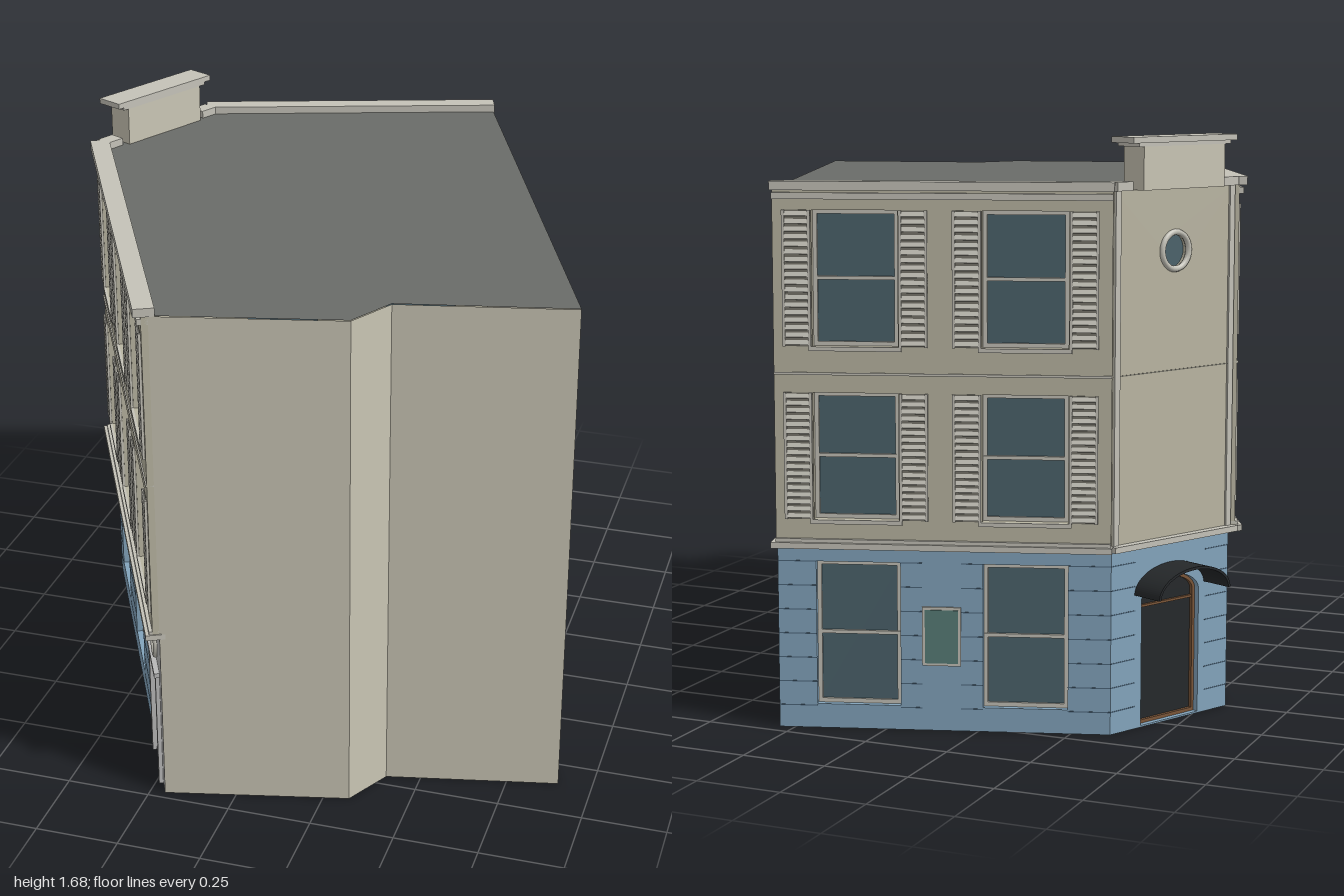
import * as THREE from 'three';
import { mergeGeometries } from 'three/addons/utils/BufferGeometryUtils.js';

const mat = (color) => new THREE.MeshStandardMaterial({ color, side: THREE.DoubleSide });
const M = {
  wall: mat(0xc9c5b4), facade: mat(0xb9b5a2), trim: mat(0xc4c2b8), roof: mat(0x6a6c68),
  blue: mat(0x83a4bc), joint: mat(0x4a6479), glass: mat(0x4b626b), shade: mat(0x77756b),
  stone: mat(0xb9b9b9), dark: mat(0x25282a), wood: mat(0x7a5538), sign: mat(0x587d78),
};

// Footprint corners as [x, z]
const P = {
  front: [-0.205, 0.975], cornerA: [-0.812, -0.248], cornerB: [-0.607, -0.67], back: [0.293, -0.96],
  right: [0.9, 0.6], stepA: [0.4, 0.71], stepB: [0.325, 0.85],
};
const GROUND = 0.53, TOP = 1.535, OUT = 0.02, BACK = -0.03;
const FLOORS = [[0.61, 0.97], [1.1, 1.48]], SHOP = [0.07, 0.485];

function add(parent, geo, material, name) {
  const m = new THREE.Mesh(geo, material);
  m.name = name;
  parent.add(m);
  return m;
}

// Box given by its extents
function boxGeo(x0, x1, y0, y1, z0, z1) {
  return new THREE.BoxGeometry(x1 - x0, y1 - y0, z1 - z0)
    .translate((x0 + x1) / 2, (y0 + y1) / 2, (z0 + z1) / 2);
}
const box = (g, name, m, ...e) => add(g, boxGeo(...e), m, name);

function rectPath(x0, x1, y0, y1, C = THREE.Path) {
  return new C([[x0, y0], [x1, y0], [x1, y1], [x0, y1]].map((p) => new THREE.Vector2(...p)));
}
function circlePath(x, y, r) {
  return new THREE.Path().absarc(x, y, r, 0, Math.PI * 2);
}

// Side frame: x runs left to right seen from outside, z points outward
function side(root, name, a, b) {
  const g = new THREE.Group();
  g.name = name;
  const dx = b[0] - a[0], dz = b[1] - a[1];
  g.position.set(a[0], 0, a[1]);
  g.rotation.y = Math.atan2(-dz, dx);
  g.userData.length = Math.hypot(dx, dz);
  root.add(g);
  return g;
}

// Wall slab with openings
function slab(g, name, m, [x0, x1, y0, y1], z1, holes) {
  const s = rectPath(x0, x1, y0, y1, THREE.Shape);
  s.holes.push(...holes);
  const geo = new THREE.ExtrudeGeometry(s, { depth: z1 - BACK, bevelEnabled: false, curveSegments: 20 });
  add(g, geo.translate(0, 0, BACK), m, name);
}

// Recessed sash window: glass, frame and middle bar
function sash(g, c, w, [y0, y1], z) {
  const a = c - w / 2, b = c + w / 2, t = 0.012, mid = (y0 + y1) / 2;
  box(g, 'windowGlass', M.glass, a, b, y0, y1, z - 0.002, z);
  const bars = [
    boxGeo(a, a + t, y0, y1, z, z + 0.007), boxGeo(b - t, b, y0, y1, z, z + 0.007),
    boxGeo(a, b, y0, y0 + t, z, z + 0.007), boxGeo(a, b, y1 - t, y1, z, z + 0.007),
    boxGeo(a, b, mid - 0.005, mid + 0.005, z, z + 0.009),
  ];
  add(g, mergeGeometries(bars), M.trim, 'windowFrame');
}

// Louvred shutter
function shutter(g, x0, x1, [y0, y1]) {
  box(g, 'shutterBack', M.shade, x0, x1, y0, y1, OUT, OUT + 0.002);
  const parts = [boxGeo(x0, x0 + 0.008, y0, y1, OUT, OUT + 0.008), boxGeo(x1 - 0.008, x1, y0, y1, OUT, OUT + 0.008)];
  const n = 18, h = (y1 - y0) / n;
  for (let i = 0; i < n; i++) {
    parts.push(new THREE.BoxGeometry(x1 - x0 - 0.012, h * 0.62, 0.004).rotateX(-0.35)
      .translate((x0 + x1) / 2, y0 + (i + 0.5) * h, OUT + 0.004));
  }
  add(g, mergeGeometries(parts), M.trim, 'shutterLouvres');
}

// Masonry joints, interrupted at the given openings
function joints(g, x0, x1, gaps) {
  const parts = [];
  for (let y = 0.065; y < GROUND - 0.02; y += 0.07) {
    let x = x0;
    for (const [a, b] of [...gaps, [x1, x1]]) {
      if (a - x > 0.01) parts.push(boxGeo(x, a, y - 0.0015, y + 0.0015, 0, 0.001));
      x = b;
    }
  }
  add(g, mergeGeometries(parts), M.joint, 'masonryJoints');
}

function porthole(g, x, y, r, z) {
  add(g, new THREE.TorusGeometry(r, 0.009, 8, 28).translate(x, y, z), M.trim, 'roundWindowRing');
  add(g, new THREE.CircleGeometry(r, 28).translate(x, y, z - 0.02), M.glass, 'roundWindowGlass');
}

// Cornices and string courses of a decorated front
function cornices(g, L) {
  box(g, 'lowerCornice', M.trim, -0.012, L + 0.004, 0.528, 0.545, BACK, 0.04);
  box(g, 'lowerMoulding', M.trim, 0, L, 0.545, 0.555, 0, 0.03);
  box(g, 'stringCourse', M.trim, 0, L, 1.02, 1.027, 0, 0.024);
  box(g, 'upperMoulding', M.trim, 0, L, 1.51, 1.528, 0, 0.032);
  box(g, 'parapet', M.trim, -0.004, L + 0.004, TOP, 1.56, -0.018, 0.042);
}

// Upper storeys with shuttered windows
function upperStoreys(g, L, centres, w) {
  const holes = [];
  for (const c of centres) for (const f of FLOORS) {
    holes.push(rectPath(c - w / 2, c + w / 2, ...f));
    sash(g, c, w, f, -0.01);
    shutter(g, c - w / 2 - 0.083, c - w / 2 - 0.003, f);
    shutter(g, c + w / 2 + 0.003, c + w / 2 + 0.083, f);
    box(g, 'windowSill', M.trim, c - w / 2 - 0.01, c + w / 2 + 0.01, f[0] - 0.012, f[0], OUT, OUT + 0.008);
  }
  slab(g, 'upperWall', M.facade, [0, L, GROUND, TOP], OUT, holes);
}

// Blue shop storey with plain windows
function shopStorey(g, x1, centres, w, extraGaps = []) {
  const gaps = centres.map((c) => [c - w / 2, c + w / 2]);
  slab(g, 'groundWall', M.blue, [0, x1, 0, GROUND], 0, gaps.map((q) => rectPath(...q, ...SHOP)));
  centres.forEach((c) => sash(g, c, w, SHOP, -0.026));
  joints(g, 0, x1, [...gaps, ...extraGaps].sort((a, b) => a[0] - b[0]));
}

function streetFront(root) {
  const g = side(root, 'streetFront', P.cornerA, P.front), L = g.userData.length;
  cornices(g, L);
  upperStoreys(g, L, [0.235, 0.69, 1.145], 0.25);
  shopStorey(g, 1.1, [0.215, 0.675], 0.25);
  // Stone entrance bay with door and round window
  const d0 = 1.135, d1 = 1.295, c = 1.215;
  slab(g, 'entranceWall', M.stone, [1.1, L, 0, GROUND], 0,
    [rectPath(d0, d1, 0.012, 0.37), circlePath(c, 0.44, 0.045)]);
  box(g, 'entranceDoor', M.dark, d0, d1, 0.012, 0.37, -0.028, -0.024);
  for (const x of [d0 - 0.02, d1]) box(g, 'doorJamb', M.stone, x, x + 0.02, 0, 0.37, 0, 0.012);
  box(g, 'doorLintel', M.stone, d0 - 0.025, d1 + 0.025, 0.37, 0.385, 0, 0.016);
  porthole(g, c, 0.44, 0.047, 0.002);
}

function backFront(root) {
  const g = side(root, 'backFront', P.back, P.cornerB), L = g.userData.length;
  cornices(g, L);
  upperStoreys(g, L, [0.23, 0.705], 0.24);
  shopStorey(g, L, [0.23, 0.705], 0.24, [[0.412, 0.522]]);
  box(g, 'plaqueFrame', M.trim, 0.412, 0.522, 0.19, 0.36, 0, 0.006);
  box(g, 'plaque', M.sign, 0.42, 0.514, 0.198, 0.352, 0, 0.009);
}

// Arch outline of half width a, rising from y to y + rise
function archPath(C, c, a, base, y, rise) {
  const s = new C();
  s.moveTo(c - a, base);
  s.lineTo(c + a, base);
  s.lineTo(c + a, y);
  s.absellipse(c, y, a, rise, 0, Math.PI, false);
  s.lineTo(c - a, base);
  return s;
}

function cornerFront(root) {
  const g = side(root, 'cornerFront', P.cornerB, P.cornerA), L = g.userData.length, c = L / 2;
  const ex = (s, depth, z) => new THREE.ExtrudeGeometry(s, { depth, bevelEnabled: false, curveSegments: 24 }).translate(0, 0, z);
  slab(g, 'groundWall', M.blue, [0, L, 0, GROUND], 0, [archPath(THREE.Path, c, 0.115, 0.005, 0.37, 0.06)]);
  joints(g, 0, L, [[c - 0.14, c + 0.14]]);
  slab(g, 'upperWall', M.facade, [0, L, GROUND, TOP], 0.004, [circlePath(c, 1.36, 0.05)]);
  porthole(g, c, 1.36, 0.052, 0.006);
  box(g, 'lowerCornice', M.trim, -0.01, L + 0.01, 0.528, 0.545, BACK, 0.028);
  box(g, 'stringCourse', M.shade, 0, L, 1.02, 1.023, 0, 0.006);
  for (const x of [0, L - 0.02]) box(g, 'cornerStrip', M.trim, x, x + 0.02, 0.545, TOP, 0, 0.01);
  // Arched door
  add(g, ex(archPath(THREE.Shape, c, 0.115, 0.005, 0.37, 0.06), 0.004, -0.03), M.dark, 'archedDoor');
  const frame = archPath(THREE.Shape, c, 0.115, 0.005, 0.37, 0.06);
  frame.holes.push(archPath(THREE.Path, c, 0.105, 0.015, 0.37, 0.05));
  add(g, ex(frame, 0.01, -0.026), M.wood, 'doorFrame');
  box(g, 'doorRail', M.wood, c - 0.11, c + 0.11, 0.345, 0.352, -0.026, -0.018);
  // Curved canopy over the door
  const canopy = new THREE.Shape();
  canopy.absellipse(c, 0.39, 0.143, 0.078, 0, Math.PI, false);
  canopy.absellipse(c, 0.39, 0.135, 0.07, Math.PI, 0, true);
  add(g, ex(canopy, 0.1, 0), M.dark, 'canopy');
  // Raised parapet block
  for (const x of [-0.004, L - 0.055]) box(g, 'parapetEnd', M.trim, x, x + 0.059, TOP, 1.56, -0.03, 0.02);
  box(g, 'parapetBlock', M.wall, c - 0.159, c + 0.159, TOP, 1.662, -0.04, 0.04);
  box(g, 'parapetCap', M.trim, c - 0.203, c + 0.203, 1.665, 1.682, -0.045, 0.045);
  box(g, 'capMoulding', M.trim, c - 0.18, c + 0.18, 1.655, 1.665, -0.042, 0.042);
}

export function createModel() {
  const root = new THREE.Group();
  root.name = 'cornerBuilding';
  streetFront(root);
  cornerFront(root);
  backFront(root);
  // Plain party walls
  const plain = [P.front, P.stepB, P.stepA, P.right, P.back];
  for (let i = 0; i < plain.length - 1; i++) {
    const g = side(root, 'partyWall', plain[i], plain[i + 1]), L = g.userData.length;
    add(g, new THREE.PlaneGeometry(L, TOP).translate(L / 2, TOP / 2, 0), M.wall, 'partyWallFace');
  }
  // Flat roof
  const outline = [...plain, P.cornerB, P.cornerA].map(([x, z]) => new THREE.Vector2(x, -z));
  const roof = new THREE.ShapeGeometry(new THREE.Shape(outline)).rotateX(-Math.PI / 2);
  add(root, roof.translate(0, TOP + 0.002, 0), M.roof, 'roof');
  return root;
}
